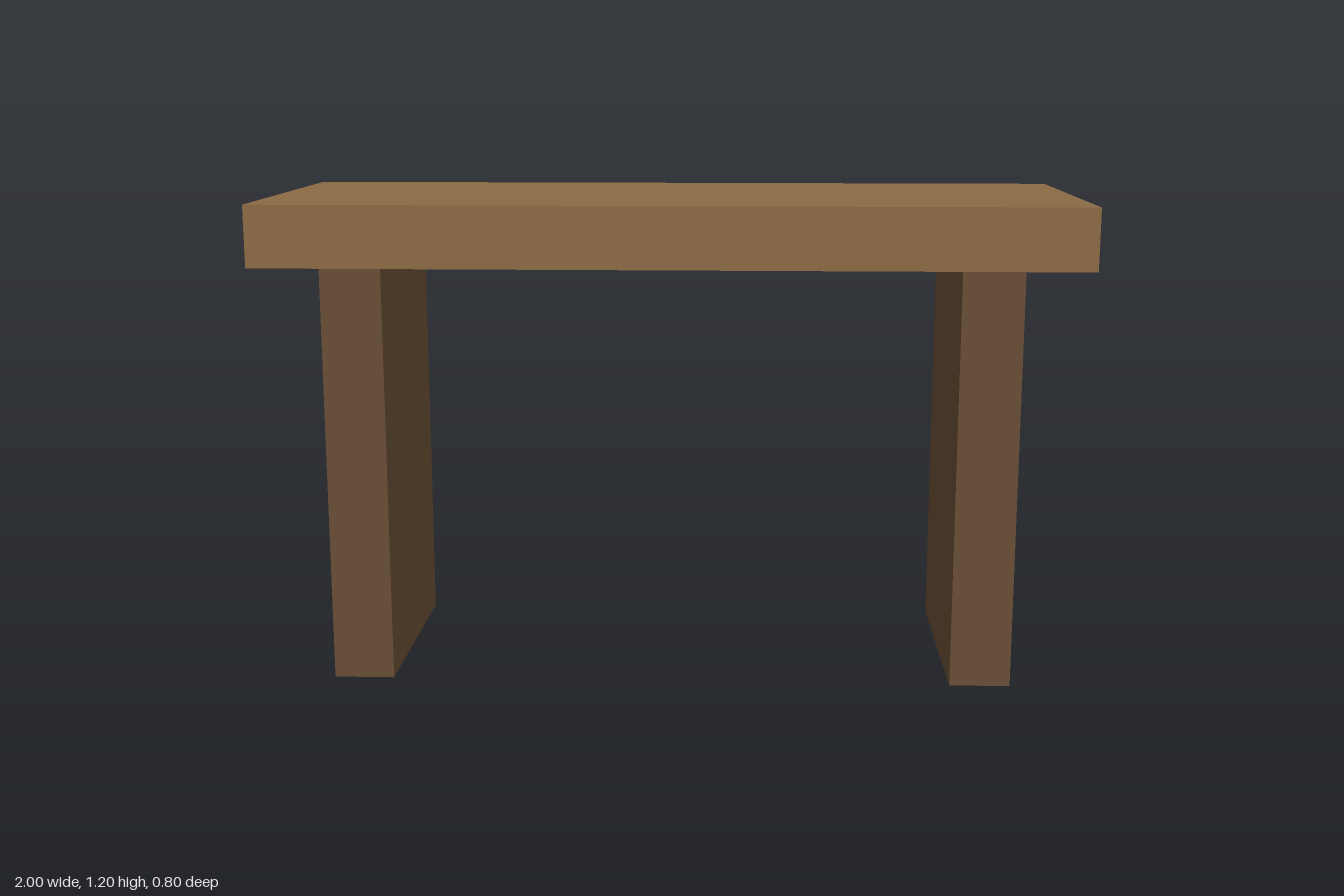
import * as THREE from 'three';

export function createModel() {
  const group = new THREE.Group();
  group.name = 'bench';

  const lightWood = new THREE.MeshStandardMaterial({ color: 0x8c6a45 });
  lightWood.name = 'lightWood';
  const darkWood = new THREE.MeshStandardMaterial({ color: 0x694e35 });
  darkWood.name = 'darkWood';

  // Box standing on height y
  const addBox = (name, material, [w, h, d], x, y) => {
    const mesh = new THREE.Mesh(new THREE.BoxGeometry(w, h, d), material);
    mesh.name = name;
    mesh.position.set(x, y + h / 2, 0);
    group.add(mesh);
  };

  // Thick seat plank
  addBox('seat', lightWood, [2, 0.15, 0.8], 0, 1.05);

  // Slab legs, mirrored left and right
  for (const [name, side] of [['leftLeg', 1], ['rightLeg', -1]]) {
    addBox(name, darkWood, [0.15, 1.05, 0.6], side * 0.775, 0);
  }

  return group;
}
